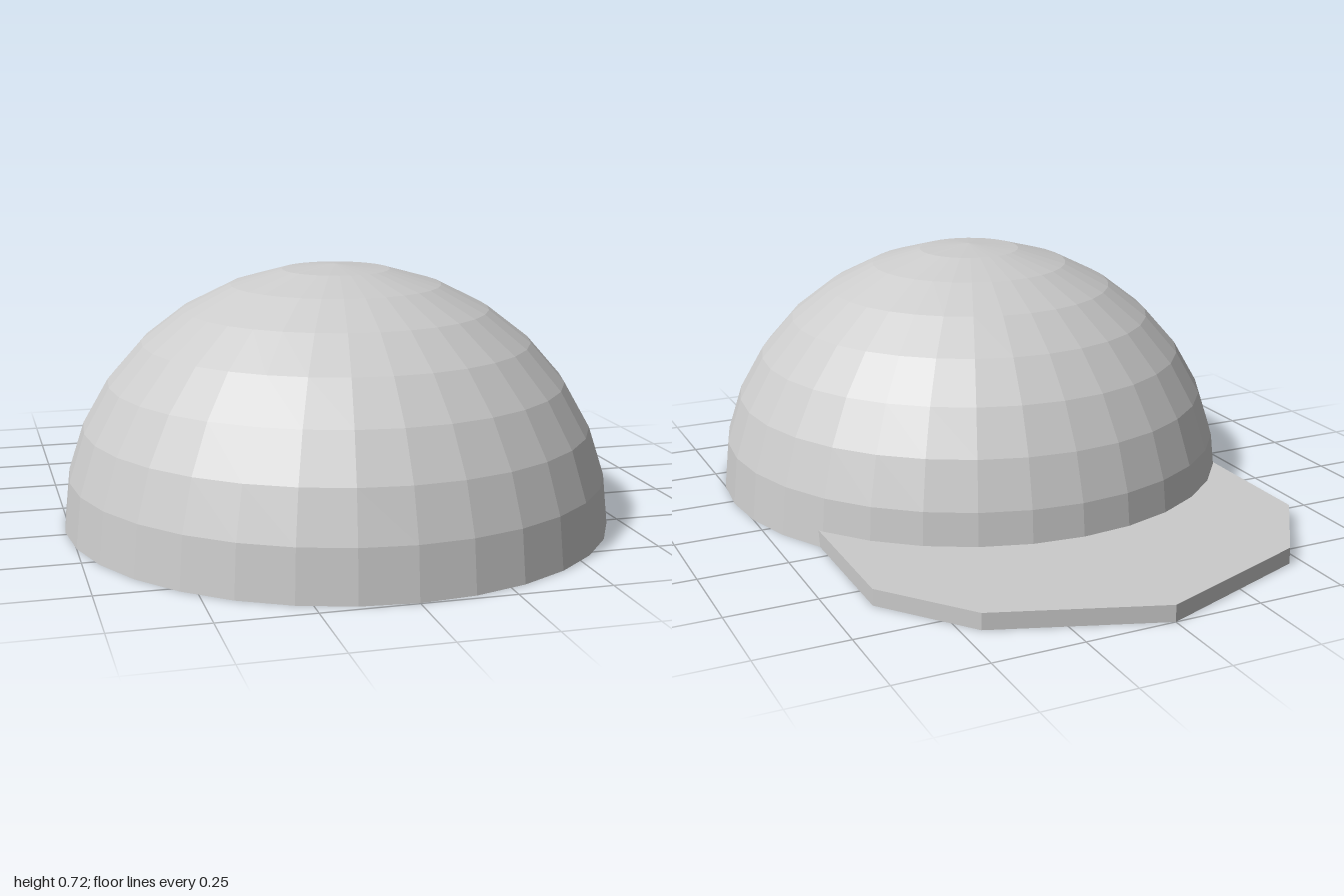
import * as THREE from 'three';

const RADIUS = 0.765, HEIGHT = 0.716, CENTER_Z = 0.232;

export function createModel() {
  const group = new THREE.Group();
  group.name = 'cap';
  const material = new THREE.MeshStandardMaterial({ color: 0xcccccc, flatShading: true });

  const add = (name, geometry) => {
    const mesh = new THREE.Mesh(geometry, material);
    mesh.name = name;
    group.add(mesh);
    return mesh;
  };

  // Faceted dome: half a sphere, slightly flattened
  const dome = add('crown', new THREE.SphereGeometry(RADIUS, 32, 8, 0, Math.PI * 2, 0, Math.PI / 2));
  dome.scale.y = HEIGHT / RADIUS;
  dome.position.z = CENTER_Z;

  // Flat underside closing the dome
  const base = add('crownBase', new THREE.CircleGeometry(RADIUS, 32).rotateX(Math.PI / 2));
  base.position.z = CENTER_Z;

  // Angular brim behind the dome, its inner end hidden inside it
  const outline = [
    [-0.64, -0.1], [0.64, -0.1], [0.64, -0.595], [0.45, -0.837],
    [0, -1], [-0.46, -0.83], [-0.64, -0.575],
  ].map(([x, z]) => new THREE.Vector2(x, -z));
  add('brim', new THREE.ExtrudeGeometry(new THREE.Shape(outline), { depth: 0.046, bevelEnabled: false })
    .rotateX(-Math.PI / 2));

  return group;
}
